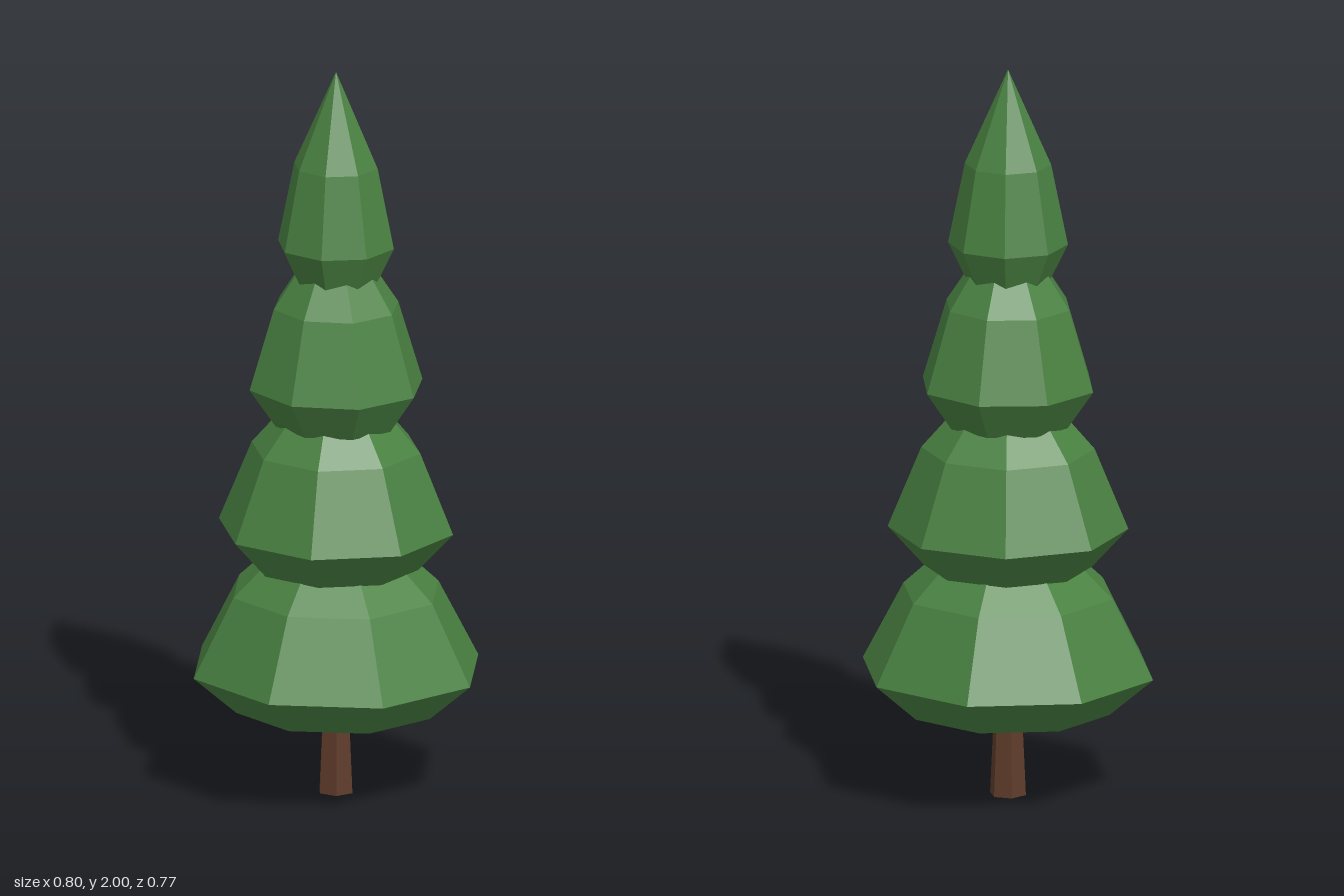
import * as THREE from 'three';

export function createModel() {
  const tree = new THREE.Group();
  tree.name = 'pineTree';
  const green = new THREE.MeshStandardMaterial({ color: 0x4a8242, flatShading: true });
  green.name = 'needleGreen';
  const brown = new THREE.MeshStandardMaterial({ color: 0x5e3c2b, flatShading: true });
  brown.name = 'barkBrown';

  // Hexagonal, slightly tapered trunk reaching into the lowest tier
  const trunkGeometry = new THREE.CylinderGeometry(0.036, 0.05, 0.3, 6, 1, false, Math.PI / 6);
  trunkGeometry.translate(0, 0.15, 0);
  const trunk = new THREE.Mesh(trunkGeometry, brown);
  trunk.name = 'trunk';
  tree.add(trunk);

  // Foliage tiers: heights of base, widest ring, shoulder and tip, then radius and twist
  const tiers = [
    { base: 0.24, rim: 0.345, shoulder: 0.56, tip: 0.83, radius: 0.402, twist: -1.4 },
    { base: 0.63, rim: 0.735, shoulder: 0.955, tip: 1.22, radius: 0.321, twist: -16 },
    { base: 1.025, rim: 1.13, shoulder: 1.35, tip: 1.61, radius: 0.24, twist: 1.8 },
    { base: 1.42, rim: 1.52, shoulder: 1.74, tip: 2.0, radius: 0.16, twist: -14 },
  ];
  tiers.forEach(({ base, rim, shoulder, tip, radius, twist }, i) => {
    const profile = [
      [0, base], [radius * 0.7, base], [radius, rim], [radius * 0.72, shoulder], [0, tip],
    ].map(([r, y]) => new THREE.Vector2(r, y));
    const geometry = new THREE.LatheGeometry(profile, 8, -THREE.MathUtils.degToRad(twist));
    geometry.scale(1, 1, 0.96); // slightly narrower front to back
    const tier = new THREE.Mesh(geometry, green);
    tier.name = `foliageTier${i + 1}`;
    tree.add(tier);
  });

  return tree;
}
